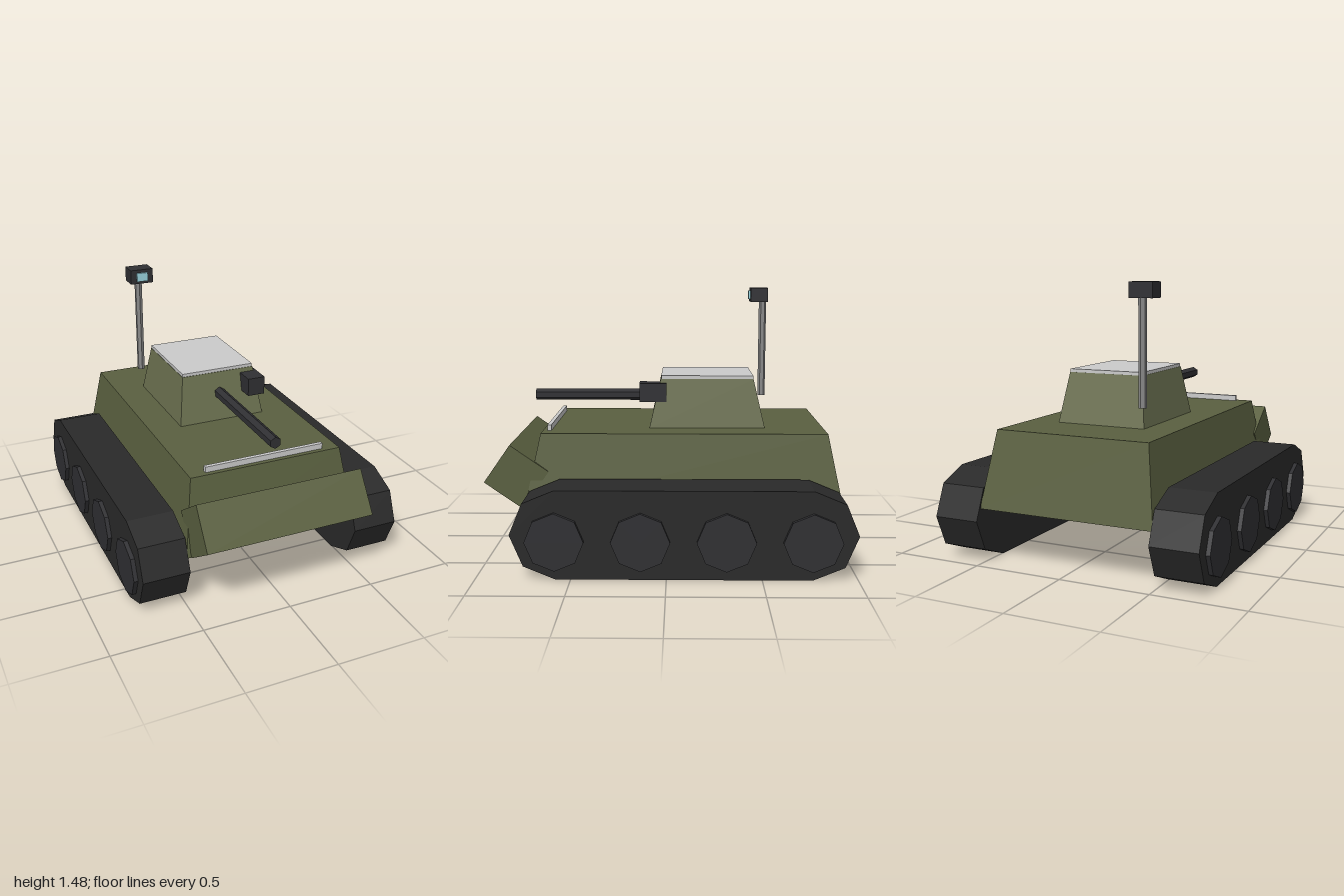
import * as THREE from 'three';

const mat = (color) => new THREE.MeshStandardMaterial({ color, flatShading: true });

export function createModel() {
  const tank = new THREE.Group();
  tank.name = 'tank';

  const armour = mat(0x5a6040);
  const turretPaint = mat(0x6b7050);
  const rubber = mat(0x2a2a2a);
  const darkMetal = mat(0x303033);
  const mastMetal = mat(0x888888);
  const grey = mat(0xcccccc);
  const glass = mat(0x9ad4de);

  const add = (name, geometry, material) => {
    const mesh = new THREE.Mesh(geometry, material);
    mesh.name = name;
    tank.add(mesh);
    return mesh;
  };

  // Box given by its limits on each axis
  const block = (name, material, [x0, x1], [y0, y1], [z0, z1]) => {
    const g = new THREE.BoxGeometry(x1 - x0, y1 - y0, z1 - z0);
    return add(name, g.translate((x0 + x1) / 2, (y0 + y1) / 2, (z0 + z1) / 2), material);
  };

  // Tapered box: each end has a half width, a back z and a front z
  const tapered = (name, material, y0, low, y1, high) => {
    const g = new THREE.BoxGeometry(2, 2, 2);
    const p = g.attributes.position;
    for (let i = 0; i < p.count; i++) {
      const top = p.getY(i) > 0;
      const [half, back, front] = top ? high : low;
      p.setXYZ(i, p.getX(i) * half, top ? y1 : y0, p.getZ(i) > 0 ? front : back);
    }
    g.computeVertexNormals();
    return add(name, g, material);
  };

  // Solid from a (z, y) outline, spanning x0 to x1
  const sideExtrude = (name, material, outline, x0, x1) => {
    const shape = new THREE.Shape(outline.map(([z, y]) => new THREE.Vector2(z, y)));
    const g = new THREE.ExtrudeGeometry(shape, { depth: x1 - x0, bevelEnabled: false });
    return add(name, g.rotateY(-Math.PI / 2).translate(x1, 0, 0), material);
  };

  // Hull with sloped sides, and the tilted nose block
  tapered('hull', armour, 0.3, [0.5, -0.96, 0.78], 0.715, [0.438, -0.873, 0.69]);
  sideExtrude('nosePlate', armour,
    [[0.79, 0.303], [1.0, 0.45], [0.855, 0.657], [0.645, 0.51]], -0.476, 0.476);
  block('deckRail', grey, [-0.345, 0.345], [0.715, 0.747], [0.643, 0.665]);

  // Turret and roof plate
  tapered('turret', turretPaint, 0.715, [0.258, -0.545, 0.103], 0.988, [0.219, -0.481, 0.04]);
  block('turretRoof', grey, [-0.217, 0.217], [0.986, 1.006], [-0.48, 0.037]);

  // Gun barrel and sight box
  const barrel = new THREE.CylinderGeometry(0.033, 0.033, 0.72, 6).rotateX(Math.PI / 2);
  add('gunBarrel', barrel.translate(0, 0.869, 0.417), darkMetal);
  block('sightBox', darkMetal, [0.138, 0.24], [0.86, 0.964], [0.008, 0.16]);

  // Camera mast
  const mast = new THREE.CylinderGeometry(0.022, 0.022, 0.57, 6);
  add('mast', mast.translate(-0.26, 1.115, -0.566), mastMetal);
  block('cameraHead', darkMetal, [-0.328, -0.192], [1.4, 1.484], [-0.592, -0.49]);
  block('cameraLens', glass, [-0.293, -0.227], [1.416, 1.466], [-0.5, -0.479]);

  // Tracks: a loop with half-octagon ends, and four wheels on each side
  const r = 0.238;
  const loop = [];
  for (let i = 0; i < 5; i++) {
    const a = -Math.PI / 2 + (i * Math.PI) / 4;
    loop.push([0.58 + r * Math.cos(a), r + r * Math.sin(a)]);
  }
  for (let i = 0; i < 5; i++) {
    const a = Math.PI / 2 + (i * Math.PI) / 4;
    loop.push([-0.762 + r * Math.cos(a), r + r * Math.sin(a)]);
  }
  for (const [side, s] of [['left', 1], ['right', -1]]) {
    sideExtrude(side + 'Track', rubber, loop, s * 0.625 - 0.13, s * 0.625 + 0.13);
    for (let i = 0; i < 4; i++) {
      const wheel = new THREE.CylinderGeometry(0.155, 0.155, 0.08, 8).rotateZ(Math.PI / 2);
      add(side + 'Wheel' + (i + 1), wheel.translate(s * 0.738, 0.205, 0.583 - i * 0.448), darkMetal);
    }
  }

  return tank;
}
